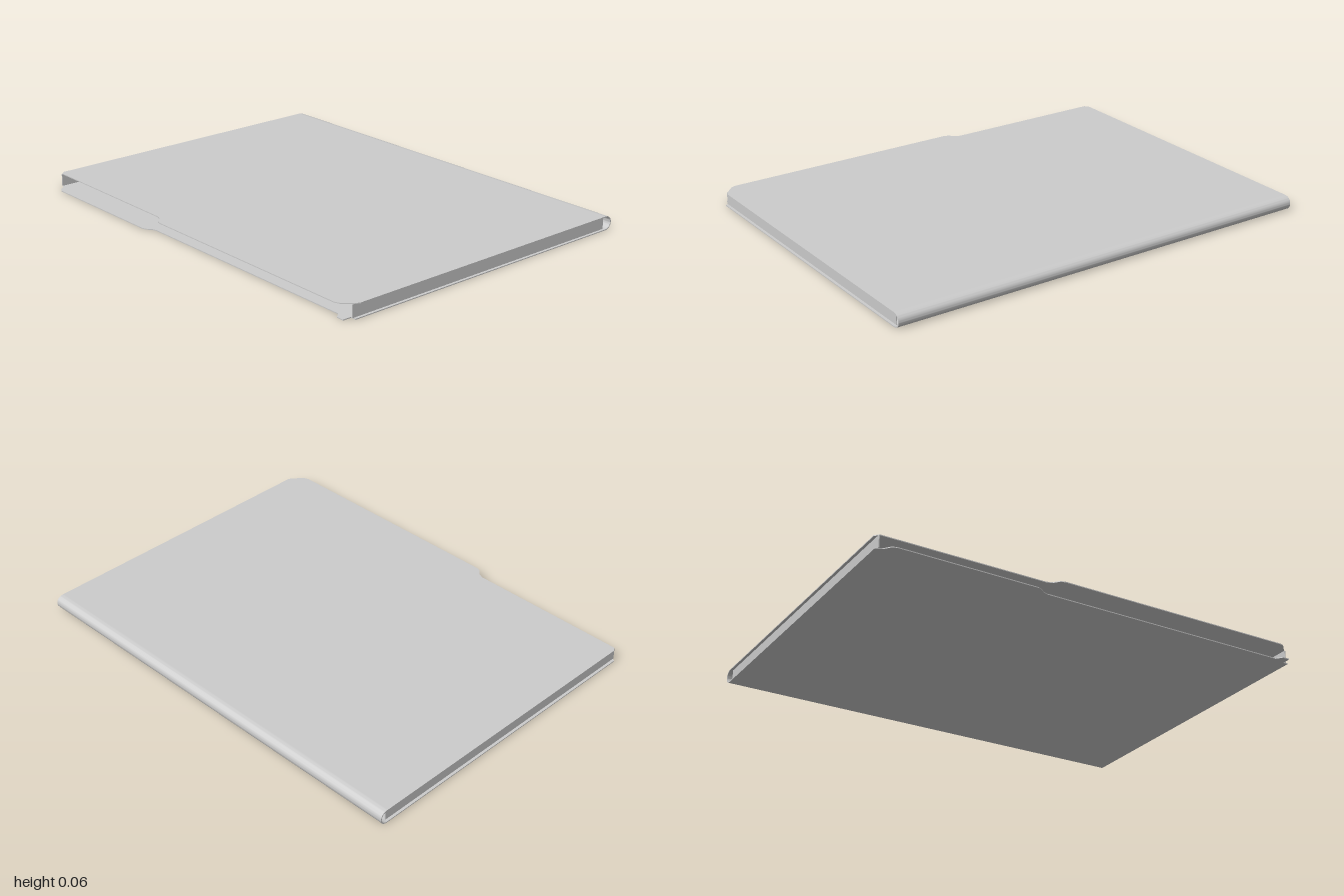
import * as THREE from 'three';
import { toCreasedNormals } from 'three/addons/utils/BufferGeometryUtils.js';

const HEIGHT = 0.063, SHEET = 0.004, SPINE_Z = -0.715, BACK = -0.752, FRONT = 0.75;

export function createModel() {
  const folder = new THREE.Group();
  folder.name = 'documentFolder';
  const material = new THREE.MeshStandardMaterial({ color: 0xcccccc, side: THREE.DoubleSide });

  const add = (name, geometry, x = 0, y = 0, z = 0) => {
    const mesh = new THREE.Mesh(geometry, material);
    mesh.name = name;
    mesh.position.set(x, y, z);
    folder.add(mesh);
  };

  // Flat sheet from an outline of [x, z] points
  const sheet = (outline) => {
    const shape = new THREE.Shape(outline.map(([x, z]) => new THREE.Vector2(x, -z)));
    return new THREE.ExtrudeGeometry(shape, { depth: SHEET, bevelEnabled: false }).rotateX(-Math.PI / 2);
  };

  // Top cover: cut back beside the tab, one clipped corner
  add('topCover', sheet([
    [-1, SPINE_Z], [-1, 0.69], [-0.985, 0.708], [-0.24, 0.71], [-0.215, 0.72],
    [-0.195, 0.743], [-0.175, FRONT], [0.93, FRONT], [0.95, 0.742],
    [0.99, 0.7], [1, 0.68], [1, SPINE_Z],
  ]), 0, HEIGHT - SHEET);

  // Bottom cover: protruding index tab on one side
  add('bottomCover', sheet([
    [-1, SPINE_Z], [-1, 0.7], [-0.965, 0.72], [-0.95, 0.74], [-0.93, FRONT],
    [-0.3, FRONT], [-0.28, 0.742], [-0.26, 0.725], [-0.24, 0.72], [0.92, 0.72],
    [0.94, 0.745], [0.975, 0.745], [0.975, 0.705], [1, 0.705], [1, SPINE_Z],
  ]));

  // Rounded spine: a bent sheet extruded across the width
  const arc = (inset) => {
    const points = [];
    for (let i = 0; i <= 20; i++) {
      const a = -Math.PI / 2 + (i / 20) * Math.PI;
      const bulge = Math.pow(Math.max(Math.cos(a), 0), 0.85);
      points.push(new THREE.Vector2(
        -SPINE_Z + (SPINE_Z - BACK - inset) * bulge,
        HEIGHT / 2 + (HEIGHT / 2 - inset) * Math.sin(a)));
    }
    return points;
  };
  const bend = new THREE.Shape([...arc(0), ...arc(SHEET).reverse()]);
  const spine = new THREE.ExtrudeGeometry(bend, { depth: 2, bevelEnabled: false });
  spine.rotateY(Math.PI / 2).translate(-1, 0, 0);
  add('spine', toCreasedNormals(spine, 0.7));

  // Side walls, set in a little from the cover edges; the front stays open
  const wallLength = 0.71 - SPINE_Z;
  for (const side of [-1, 1]) {
    add(side > 0 ? 'leftWall' : 'rightWall',
      new THREE.BoxGeometry(SHEET, HEIGHT - 2 * SHEET, wallLength),
      side * 0.986, HEIGHT / 2, SPINE_Z + wallLength / 2);
  }
  return folder;
}
